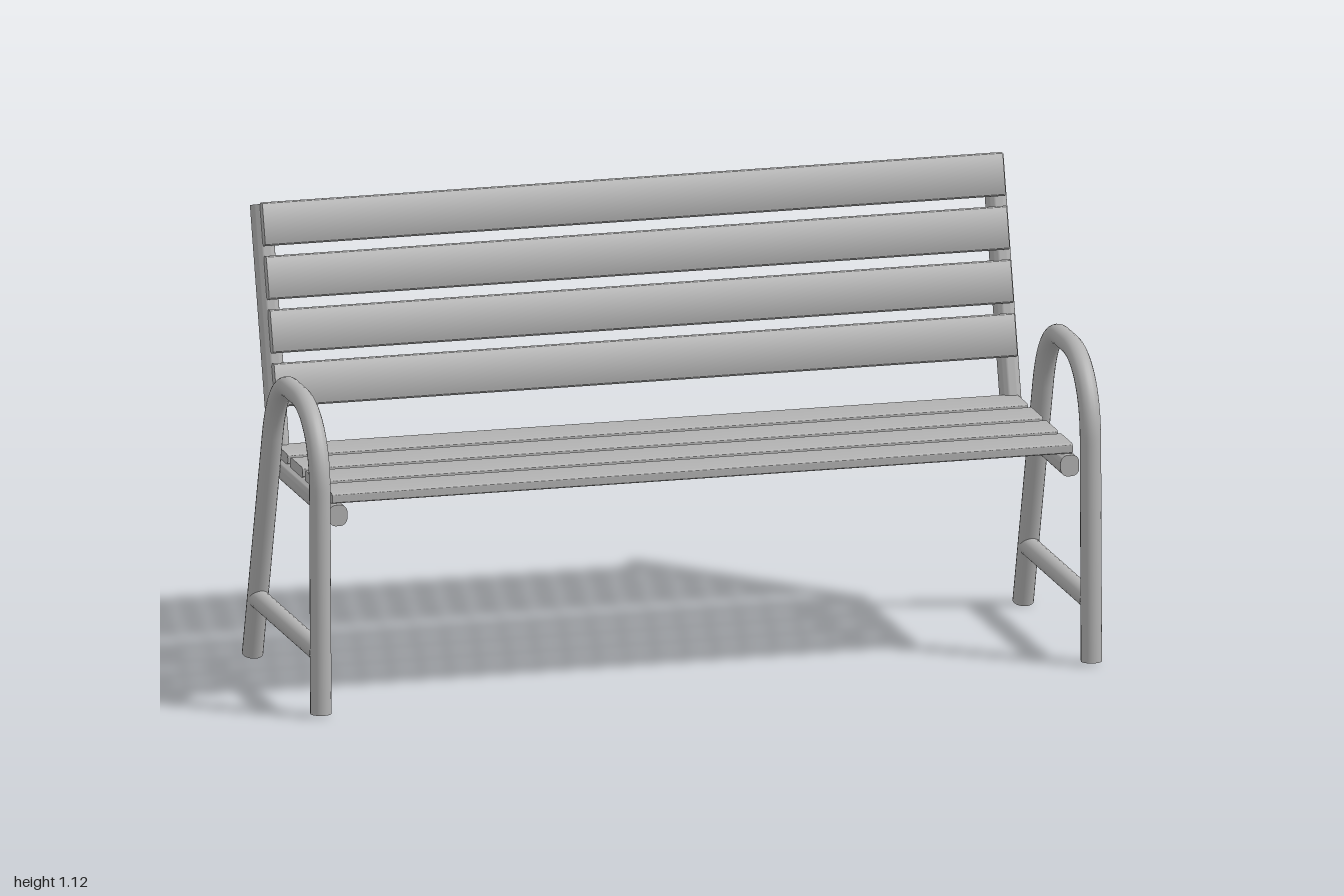
import * as THREE from 'three';
import { toCreasedNormals } from 'three/addons/utils/BufferGeometryUtils.js';

const grey = new THREE.MeshStandardMaterial({ color: 0xb2b2b2 });
grey.name = 'grey';

// Bar with a rounded rectangular section (w along x, h along y), running along z
function barGeometry(w, h, length, r) {
  const x = w / 2, y = h / 2, s = new THREE.Shape();
  s.moveTo(x, -y + r);
  s.lineTo(x, y - r);
  s.absarc(x - r, y - r, r, 0, Math.PI / 2);
  s.lineTo(-x + r, y);
  s.absarc(-x + r, y - r, r, Math.PI / 2, Math.PI);
  s.lineTo(-x, -y + r);
  s.absarc(-x + r, -y + r, r, Math.PI, Math.PI * 1.5);
  s.lineTo(x - r, -y);
  s.absarc(x - r, -y + r, r, Math.PI * 1.5, Math.PI * 2);
  const g = new THREE.ExtrudeGeometry(s, { depth: length, bevelEnabled: false, curveSegments: 5 });
  g.translate(0, 0, -length / 2);
  return toCreasedNormals(g, Math.PI / 3);
}

function add(parent, name, geometry, x = 0, y = 0, z = 0) {
  const mesh = new THREE.Mesh(geometry, grey);
  mesh.name = name;
  mesh.position.set(x, y, z);
  parent.add(mesh);
  return mesh;
}

export function createModel() {
  const bench = new THREE.Group();
  bench.name = 'bench';
  const v = (z, y) => new THREE.Vector3(0, y, z);

  // Bent tube: front leg, armrest and splayed rear leg in one sweep
  const path = new THREE.CurvePath();
  path.add(new THREE.LineCurve3(v(0.364, 0.01), v(0.355, 0.57)));
  path.add(new THREE.CubicBezierCurve3(v(0.355, 0.57), v(0.352, 0.68), v(0.28, 0.76), v(0.17, 0.76)));
  path.add(new THREE.LineCurve3(v(0.17, 0.76), v(0.09, 0.76)));
  path.add(new THREE.CubicBezierCurve3(v(0.09, 0.76), v(0.005, 0.76), v(-0.05, 0.69), v(-0.077, 0.6)));
  path.add(new THREE.LineCurve3(v(-0.077, 0.6), v(-0.258, 0.01)));
  const legRadius = 0.026;
  const legTube = new THREE.TubeGeometry(path, 96, legRadius, 20, false);
  const capGeometry = new THREE.CircleGeometry(legRadius, 20);
  const stretcher = new THREE.CylinderGeometry(0.025, 0.025, 0.55, 20).rotateX(Math.PI / 2);
  const support = barGeometry(0.047, 0.053, 0.55, 0.019);
  const post = barGeometry(0.047, 0.063, 0.657, 0.019).rotateX(-Math.PI / 2);

  // Leaning backrest, with its origin at the foot of the posts
  const back = new THREE.Group();
  back.name = 'backrest';
  back.position.set(0, 0.478, -0.18);
  back.rotation.x = -0.277;
  bench.add(back);

  for (const side of [1, -1]) {
    const frame = new THREE.Group();
    frame.name = side > 0 ? 'leftFrame' : 'rightFrame';
    frame.position.x = side * 0.974;
    bench.add(frame);
    add(frame, 'legsAndArmrest', legTube);
    for (const t of [0, 1]) {
      const end = path.getPointAt(t);
      const out = path.getTangentAt(t).multiplyScalar(t ? 1 : -1);
      const cap = add(frame, t ? 'rearFoot' : 'frontFoot', capGeometry, 0, end.y, end.z);
      cap.quaternion.setFromUnitVectors(new THREE.Vector3(0, 0, 1), out);
    }
    add(frame, 'stretcher', stretcher, 0, 0.161, 0.075);
    add(bench, 'seatSupport', support, side * 0.925, 0.4995, 0.07);
    add(back, 'backPost', post, side * 0.925, 0.3285, 0);
  }

  // Four seat slats and four back slats
  const seatSlat = barGeometry(0.115, 0.026, 1.872, 0.01).rotateY(Math.PI / 2);
  seatSlat.rotateX(Math.PI / 2).rotateX(-Math.PI / 2);
  const backSlat = barGeometry(0.107, 0.025, 1.872, 0.01).rotateY(Math.PI / 2).rotateX(Math.PI / 2);
  for (let i = 0; i < 4; i++) {
    add(bench, 'seatSlat', seatSlat, 0, 0.538, 0.275 - i * 0.1355);
    add(back, 'backSlat', backSlat, 0, 0.214 + i * 0.131, 0.044);
  }
  return bench;
}
